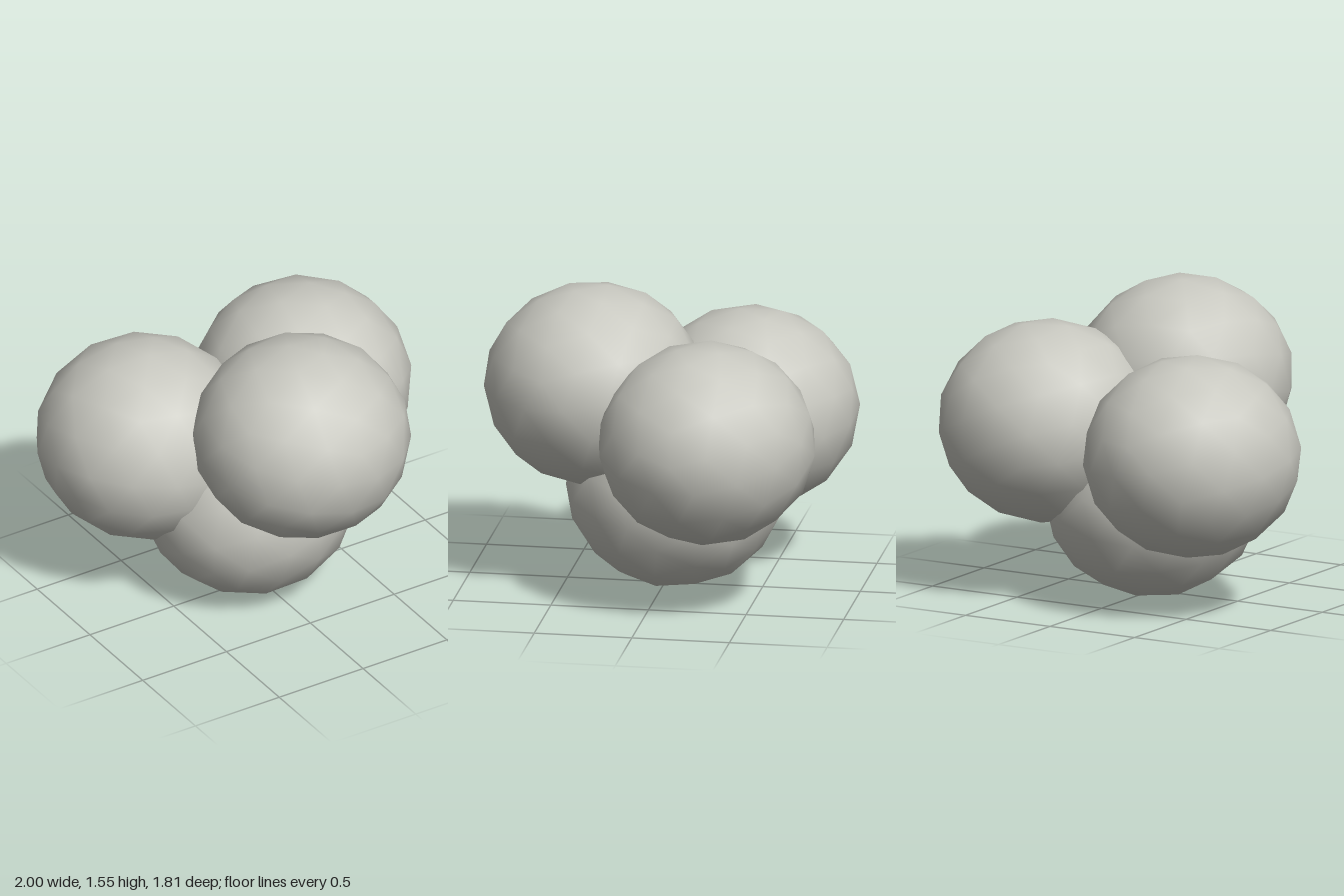
import * as THREE from 'three';
import { mergeVertices } from 'three/addons/utils/BufferGeometryUtils.js';

const RADIUS = 0.555;
const SQUASH = 0.93;

// Coarse, slightly flattened ball with smooth normals
function makeBall(name, material, position, tilt) {
  let geometry = new THREE.IcosahedronGeometry(RADIUS, 2);
  geometry.deleteAttribute('uv');
  geometry.deleteAttribute('normal');
  geometry = mergeVertices(geometry, 1e-4);
  geometry.applyMatrix4(new THREE.Matrix4().makeRotationFromEuler(new THREE.Euler(...tilt)));
  geometry.scale(1, SQUASH, 1);
  geometry.computeVertexNormals();
  const ball = new THREE.Mesh(geometry, material);
  ball.name = name;
  ball.position.set(...position);
  return ball;
}

export function createModel() {
  const group = new THREE.Group();
  group.name = 'ballCluster';
  const material = new THREE.MeshStandardMaterial({ color: 0xc8c8c0 });
  material.name = 'warm grey';

  // One ball below, two behind and one on top at the front
  const balls = [
    ['bottomBall', [-0.03, 0.515, -0.05], [0.55, 0.2, 0]],
    ['backRightBall', [-0.45, 0.82, -0.36], [0.1, 0.9, 0.2]],
    ['backLeftBall', [0.45, 0.89, -0.29], [0.3, 0.4, 0.1]],
    ['frontTopBall', [0.035, 1.05, 0.36], [0.2, 0.3, 0.4]],
  ];
  for (const [name, position, tilt] of balls) group.add(makeBall(name, material, position, tilt));
  return group;
}
